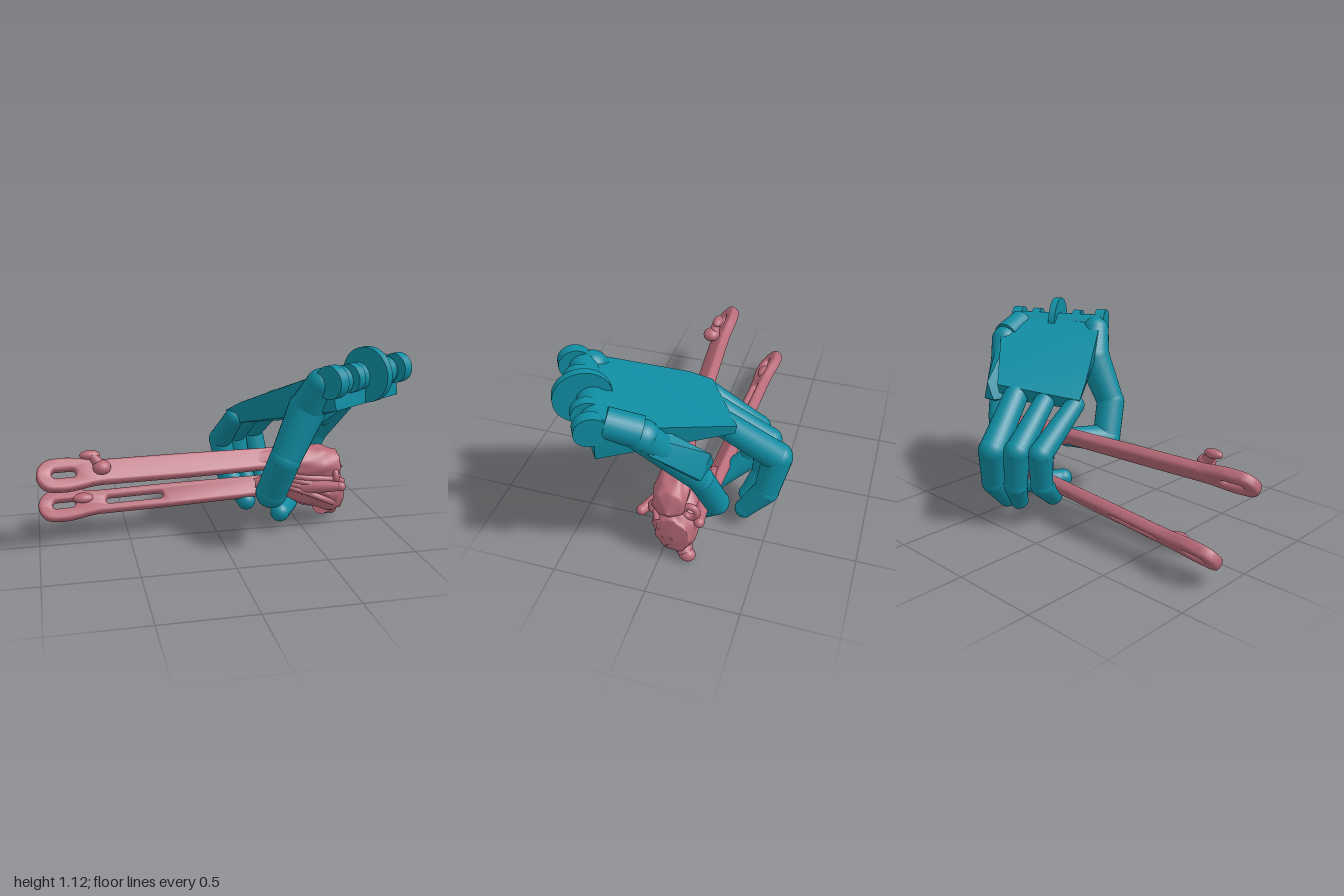
import * as THREE from 'three';
import { toCreasedNormals } from 'three/addons/utils/BufferGeometryUtils.js';
import { ConvexGeometry } from 'three/addons/geometries/ConvexGeometry.js';

const teal = new THREE.MeshStandardMaterial({ color: 0x0f8ba0 });
const rose = new THREE.MeshStandardMaterial({ color: 0xb86b78 });
const V = (p) => new THREE.Vector3(...p);
const UP = new THREE.Vector3(0, 1, 0);

function add(parent, geo, mat, name, pos) {
  const m = new THREE.Mesh(geo, mat);
  m.name = name;
  if (pos) m.position.copy(V(pos));
  parent.add(m);
  return m;
}

// Tapered rod between two points
function rod(parent, a, b, ra, rb, mat, name) {
  const d = V(b).sub(V(a));
  const m = add(parent, new THREE.CylinderGeometry(rb, ra, d.length(), 24), mat, name);
  m.position.copy(V(a)).addScaledVector(d, 0.5);
  m.quaternion.setFromUnitVectors(UP, d.normalize());
}

// Jointed finger: tapered links with ball joints
function finger(parent, name, pts, radii) {
  const g = new THREE.Group();
  g.name = name;
  pts.forEach((p, i) => {
    add(g, new THREE.SphereGeometry(radii[i], 24, 16), teal, 'joint', p);
    if (i) rod(g, pts[i - 1], p, radii[i - 1], radii[i] * 0.97, teal, 'link');
  });
  parent.add(g);
}

// Convex shell through a few corner points
function shell(parent, pts, name) {
  add(parent, toCreasedNormals(new ConvexGeometry(pts.map(V)), 0.5), teal, name);
}

function slot(x0, x1, r) {
  const h = new THREE.Path();
  h.absarc(x0 + r, 0, r, Math.PI / 2, Math.PI * 1.5, false);
  h.absarc(x1 - r, 0, r, -Math.PI / 2, Math.PI / 2, false);
  return h;
}

// Flat handle with an eye at its start; runs from a to b, width along u
function handle(parent, name, a, b, u, slots) {
  const e1 = V(b).sub(V(a));
  const L = e1.length();
  e1.normalize();
  const e2 = V(u).addScaledVector(e1, -V(u).dot(e1)).normalize();
  const e3 = e1.clone().cross(e2);
  const s = new THREE.Shape();
  s.moveTo(0.08, -0.075);
  s.bezierCurveTo(0.2, -0.09, 0.24, -0.05, 0.36, -0.053);
  s.lineTo(0.75, -0.053);
  s.lineTo(L, -0.045);
  s.lineTo(L, 0.045);
  s.lineTo(0.75, 0.053);
  s.lineTo(0.36, 0.053);
  s.bezierCurveTo(0.24, 0.05, 0.2, 0.09, 0.08, 0.075);
  s.absarc(0.08, 0, 0.075, Math.PI / 2, Math.PI * 1.5, false);
  s.holes = slots.map((q) => slot(...q));
  const geo = new THREE.ExtrudeGeometry(s, {
    depth: 0.025, bevelThickness: 0.018, bevelSize: 0.015, bevelSegments: 3, curveSegments: 16,
  });
  geo.translate(0, 0, -0.0125);
  geo.applyMatrix4(new THREE.Matrix4().makeBasis(e1, e2, e3).setPosition(V(a)));
  add(parent, toCreasedNormals(geo, 0.8), rose, name);
}

// Rippled loft along x; rows are [x, y, z, half width along u, half thickness]
function loft(parent, name, rows, u, ripple) {
  const n = 40, steps = 40, pos = [], idx = [];
  const e2 = V(u).normalize(), e3 = new THREE.Vector3(1, 0, 0).cross(e2);
  for (let i = 0; i <= steps; i++) {
    const f = (i / steps) * (rows.length - 1), k = Math.min(Math.floor(f), rows.length - 2);
    const t = f - k, w = t * t * (3 - 2 * t);
    const r = rows[k].map((v, c) => v + (rows[k + 1][c] - v) * (c ? w : t));
    for (let j = 0; j < n; j++) {
      const a = (j / n) * Math.PI * 2;
      const q = 1 + ripple * Math.sin(a * 7 + i * 0.22) * Math.sin(i * 0.3 + 1);
      const p = new THREE.Vector3(r[0], r[1], r[2])
        .addScaledVector(e2, r[3] * q * Math.cos(a)).addScaledVector(e3, r[4] * q * Math.sin(a));
      pos.push(p.x, p.y, p.z);
      if (i < steps) {
        const b = i * n + j, c = i * n + ((j + 1) % n);
        idx.push(b, c, b + n, c, c + n, b + n);
      }
    }
  }
  const geo = new THREE.BufferGeometry();
  geo.setAttribute('position', new THREE.Float32BufferAttribute(pos, 3));
  geo.setIndex(idx);
  geo.computeVertexNormals();
  const mat = rose.clone();
  mat.side = THREE.DoubleSide;
  add(parent, geo, mat, name);
}

function blob(parent, name, p, s) {
  add(parent, new THREE.SphereGeometry(1, 20, 14), rose, name, p).scale.set(...s);
}

function buildTool() {
  const g = new THREE.Group();
  g.name = 'tool';
  const u = [0, 0.74, -0.67];
  handle(g, 'upperHandle', [-0.985, 0.44, 0.095], [0.5, 0.42, -0.02], u, [[0.055, 0.215, 0.038]]);
  handle(g, 'lowerHandle', [-0.985, 0.148, -0.215], [0.42, 0.205, -0.17], u,
    [[0.055, 0.215, 0.038], [0.36, 0.72, 0.036]]);
  // Catches on the handles
  rod(g, [-0.64, 0.46, 0.11], [-0.7, 0.545, 0.1], 0.035, 0.025, rose, 'catch');
  blob(g, 'catchTip', [-0.71, 0.545, 0.095], [0.055, 0.025, 0.03]);
  blob(g, 'catchBase', [-0.65, 0.48, 0.12], [0.05, 0.04, 0.05]);
  blob(g, 'lowerCatch', [-0.74, 0.19, -0.21], [0.06, 0.03, 0.04]);
  // Jaws
  loft(g, 'upperJaw', [[0.2, 0.425, 0, 0.06, 0.03], [0.42, 0.405, -0.01, 0.085, 0.065],
    [0.6, 0.375, -0.03, 0.105, 0.09], [0.71, 0.355, -0.04, 0.09, 0.085], [0.765, 0.33, -0.05, 0.005, 0.005]], u, 0.05);
  loft(g, 'lowerJaw', [[0.26, 0.2, -0.17, 0.05, 0.03], [0.4, 0.24, -0.11, 0.09, 0.09],
    [0.56, 0.23, -0.06, 0.13, 0.12], [0.7, 0.19, -0.065, 0.135, 0.115],
    [0.755, 0.18, -0.07, 0.11, 0.09], [0.765, 0.17, -0.07, 0.005, 0.005]], [0, 1, 0.3], 0.05);
  // Hinge rings and ears beside the jaws
  for (const [y, z, ear] of [[0.3, 0.025, 0.11], [0.315, -0.15, -0.2]]) {
    add(g, new THREE.TorusGeometry(0.036, 0.018, 12, 24).rotateY(Math.PI / 2), rose, 'hingeRing', [0.69, y, z]);
    rod(g, [0.5, 0.25, z - 0.01], [0.7, 0.265, ear], 0.05, 0.025, rose, 'ear');
    blob(g, 'earTip', [0.7, 0.265, ear], [0.03, 0.028, 0.028]);
  }
  // Raised folds between the jaws
  for (let i = 0; i < 4; i++) {
    const c = new THREE.CatmullRomCurve3([[0.36, 0.33 - i * 0.02, 0.0], [0.52, 0.31 - i * 0.03, 0.05],
      [0.66, 0.29 - i * 0.045, 0.045], [0.75, 0.26 - i * 0.055, 0.01 - i * 0.02]].map(V));
    add(g, new THREE.TubeGeometry(c, 20, 0.018, 8), rose, 'fold');
  }
  // Toe of the lower jaw
  rod(g, [0.66, 0.1, -0.08], [0.74, 0.045, -0.14], 0.07, 0.036, rose, 'toe');
  blob(g, 'toeTip', [0.735, 0.042, -0.145], [0.038, 0.038, 0.045]);
  return g;
}

function buildHand() {
  const g = new THREE.Group();
  g.name = 'hand';
  // Palm
  shell(g, [
    [0.46, 1.03, 0.5], [0.94, 1.03, 0.22], [0.86, 0.97, 0.03], [0.48, 0.76, -0.33], [0.38, 0.74, -0.25],
    [0.07, 0.7, -0.09], [0.13, 0.77, 0.02], [0.96, 0.82, 0.22], [0.5, 0.83, 0.53], [0.43, 0.74, 0.32],
    [0.7, 0.75, 0.1], [0.45, 0.64, -0.2], [0.12, 0.63, -0.06], [0.48, 0.71, -0.32],
  ], 'palm');
  // Wrist lugs, drums and central disc along one axis
  const axis = V([0.86, 0, -0.5]).normalize();
  const w = [0.72, 0.975, 0.37];
  for (const [t, r, len] of [[-0.28, 0.085, 0.06], [-0.13, 0.075, 0.05], [0, 0.145, 0.04],
    [0.13, 0.075, 0.05], [0.25, 0.08, 0.06]]) {
    const m = add(g, new THREE.CylinderGeometry(r, r, len, 36), teal, t ? 'wristLug' : 'wristDisc');
    m.position.copy(V(w)).addScaledVector(axis, t);
    m.quaternion.setFromUnitVectors(UP, axis);
  }
  rod(g, [0.45, 0.96, 0.48], [0.93, 0.96, 0.2], 0.075, 0.075, teal, 'wristDrum');
  rod(g, [0.87, 0.975, 0.2], [0.83, 0.92, 0.04], 0.075, 0.08, teal, 'wristHousing');
  // Fingers
  finger(g, 'firstFinger', [[0.12, 0.66, -0.08], [0.1, 0.45, -0.36], [0.13, 0.25, -0.33], [0.215, 0.115, -0.17]],
    [0.055, 0.07, 0.063, 0.055]);
  finger(g, 'secondFinger', [[0.26, 0.67, -0.18], [0.2, 0.46, -0.44], [0.235, 0.25, -0.43], [0.29, 0.125, -0.36]],
    [0.058, 0.074, 0.066, 0.052]);
  finger(g, 'thirdFinger', [[0.41, 0.69, -0.26], [0.315, 0.46, -0.515], [0.365, 0.25, -0.475], [0.39, 0.11, -0.365]],
    [0.07, 0.08, 0.07, 0.053]);
  finger(g, 'fourthFinger', [[0.83, 0.9, 0.03], [0.64, 0.51, -0.19], [0.55, 0.28, -0.25],
    [0.46, 0.11, -0.13], [0.36, 0.115, 0.05]], [0.08, 0.068, 0.068, 0.06, 0.055]);
  // Cover over the fourth finger's long link
  shell(g, [[0.88, 0.95, 0.04], [0.89, 0.84, -0.02], [0.76, 0.92, 0.0], [0.8, 0.8, 0.1], [0.74, 0.6, -0.22],
    [0.62, 0.62, -0.25], [0.62, 0.6, -0.04], [0.7, 0.55, -0.12], [0.67, 0.72, -0.25]], 'fingerCover');
  // Thumb
  finger(g, 'thumb', [[0.45, 0.95, 0.43], [0.4, 0.8, 0.36], [0.28, 0.54, 0.385], [0.235, 0.335, 0.3], [0.34, 0.375, 0.08]],
    [0.08, 0.1, 0.084, 0.085, 0.058]);
  return g;
}

export function createModel() {
  const model = new THREE.Group();
  model.name = 'handWithTool';
  model.add(buildTool(), buildHand());
  return model;
}
